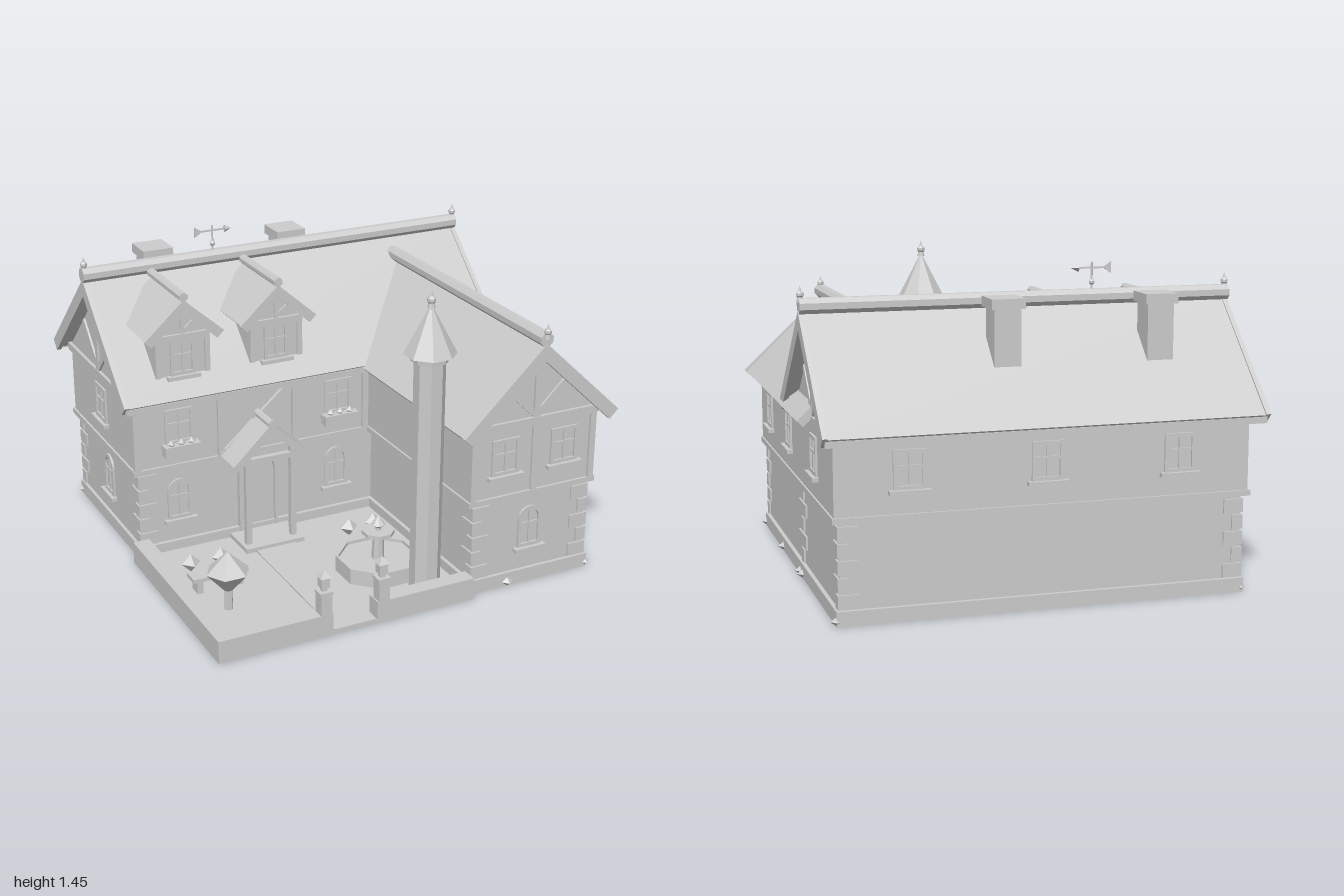
import * as THREE from 'three';

const plaster = new THREE.MeshStandardMaterial({ color: 0xcccccc });
plaster.name = 'light grey';

// Adds a facetted mesh to a group
function add(parent, name, geo, x = 0, y = 0, z = 0) {
  const flat = geo.index ? geo.toNonIndexed() : geo;
  flat.computeVertexNormals();
  const mesh = new THREE.Mesh(flat, plaster);
  mesh.name = name;
  mesh.position.set(x, y, z);
  parent.add(mesh);
  return mesh;
}

// Box given by its limits
const block = (p, name, x0, x1, y0, y1, z0, z1) =>
  add(p, name, new THREE.BoxGeometry(x1 - x0, y1 - y0, z1 - z0), (x0 + x1) / 2, (y0 + y1) / 2, (z0 + z1) / 2);

// Four strips around a rectangle
function ring(p, name, x0, x1, y0, y1, z0, z1, t) {
  block(p, name, x0, x1, y0, y1, z0, z0 + t);
  block(p, name, x0, x1, y0, y1, z1 - t, z1);
  block(p, name, x0, x0 + t, y0, y1, z0 + t, z1 - t);
  block(p, name, x1 - t, x1, y0, y1, z0 + t, z1 - t);
}

const cyl = (p, name, rTop, rBottom, y0, y1, x, z, sides = 8) =>
  add(p, name, new THREE.CylinderGeometry(rTop, rBottom, y1 - y0, sides).rotateY(Math.PI / sides), x, (y0 + y1) / 2, z);

function group(parent, name, x = 0, y = 0, z = 0, ry = 0) {
  const g = new THREE.Group();
  g.name = name;
  g.position.set(x, y, z);
  g.rotation.y = ry;
  parent.add(g);
  return g;
}

// Timber between two points in a plane facing +z
function beam(p, name, x0, y0, x1, y1, z, w = 0.03, d = 0.02) {
  const m = add(p, name, new THREE.BoxGeometry(Math.hypot(x1 - x0, y1 - y0), w, d), (x0 + x1) / 2, (y0 + y1) / 2, z);
  m.rotation.z = Math.atan2(y1 - y0, x1 - x0);
}

function prism(p, name, pts, z0, z1) {
  const shape = new THREE.Shape(pts.map(([x, y]) => new THREE.Vector2(x, y)));
  add(p, name, new THREE.ExtrudeGeometry(shape, { depth: z1 - z0, bevelEnabled: false }), 0, 0, z0);
}

// Two sloping slabs along z; t is the upright thickness
function chevron(p, name, half, eave, apex, t, z0, z1) {
  const k = (apex - eave) / half, e = t * 0.5;
  const inner = half - e, yi = eave - e;
  prism(p, name, [[-half, eave], [-inner, yi], [0, yi + k * inner], [inner, yi], [half, eave], [0, apex]], z0, z1);
}

function ridge(p, r, y, z0, z1) {
  add(p, 'ridgeCap', new THREE.CylinderGeometry(r, r, z1 - z0, 8).rotateY(Math.PI / 8).rotateX(Math.PI / 2), 0, y, (z0 + z1) / 2);
}

function finial(p, x, y, z, s = 1) {
  cyl(p, 'finialStem', 0.012 * s, 0.018 * s, y - 0.02, y + 0.01, x, z);
  add(p, 'finialBall', new THREE.SphereGeometry(0.02 * s, 8, 5), x, y + 0.015 * s, z);
  cyl(p, 'finialTip', 0, 0.01 * s, y + 0.025 * s, y + 0.06 * s, x, z);
}

// Triangular wall with king post and struts, facing +z
function gable(p, half, y0, apex, z, s = 1) {
  prism(p, 'gableWall', [[-half, y0], [half, y0], [0, apex]], z - 0.03, z);
  block(p, 'tieBeam', -half, half, y0 - 0.02, y0 + 0.015, z - 0.01, z + 0.015);
  block(p, 'kingPost', -0.015 * s, 0.015 * s, y0, apex, z - 0.01, z + 0.012);
  const h = apex - y0;
  for (const m of [-1, 1]) beam(p, 'gableStrut', 0, y0 + 0.02, m * half * 0.44, y0 + h * 0.53, z, 0.03 * s);
}

// Window facing +z, standing on its sill at the group origin
function windowUnit(p, x, y, z, ry, w, h, arched = false, flowers = false) {
  const g = group(p, 'window', x, y, z, ry);
  const outline = (Type, a, b0, b1) => {
    const s = new Type();
    s.moveTo(-a, b0); s.lineTo(a, b0); s.lineTo(a, b1);
    if (arched) s.absarc(0, b1, a, 0, Math.PI, false);
    else s.lineTo(-a, b1);
    s.closePath();
    return s;
  };
  const top = arched ? h - w / 2 : h;
  const frame = outline(THREE.Shape, w / 2, 0, top);
  frame.holes.push(outline(THREE.Path, w / 2 - 0.016, 0.016, arched ? top : top - 0.016));
  add(g, 'windowFrame', new THREE.ExtrudeGeometry(frame, { depth: 0.014, bevelEnabled: false, curveSegments: 6 }), 0, 0, -0.004);
  block(g, 'mullion', -0.005, 0.005, 0.012, h - 0.01, -0.002, 0.007);
  block(g, 'transom', -w / 2 + 0.012, w / 2 - 0.012, h * 0.55, h * 0.55 + 0.01, -0.002, 0.007);
  block(g, 'windowSill', -w / 2 - 0.02, w / 2 + 0.02, -0.018, 0, 0, 0.028);
  if (flowers) {
    block(g, 'flowerBox', -0.088, 0.088, -0.045, 0.005, 0.005, 0.055);
    for (const i of [-1, 0, 1]) add(g, 'flower', new THREE.OctahedronGeometry(0.02), i * 0.05, 0.012, 0.032);
  }
}

// Alternating corner stones
function quoins(p, x, z, sx, sz) {
  for (let i = 0; i < 5; i++) {
    const a = i % 2 ? 0.05 : 0.09, b = i % 2 ? 0.09 : 0.05, y = 0.068 + i * 0.073;
    add(p, 'cornerStone', new THREE.BoxGeometry(a, 0.062, b), x + sx * (0.009 - a / 2), y + 0.031, z + sz * (0.009 - b / 2));
  }
}

export function createModel() {
  const model = new THREE.Group();
  model.name = 'timberedManor';

  // Walls, with open plinth rings under raised floors
  const walls = group(model, 'walls');
  ring(walls, 'mainPlinth', -0.915, 0.915, 0, 0.065, -0.9, -0.06, 0.035);
  ring(walls, 'wingPlinth', 0.287, 0.915, 0, 0.065, -0.095, 0.9, 0.035);
  block(walls, 'mainLowerWall', -0.9, 0.897, 0.055, 0.45, -0.88, -0.08);
  block(walls, 'wingLowerWall', 0.305, 0.897, 0.055, 0.45, -0.09, 0.883);
  block(walls, 'mainUpperWall', -0.925, 0.92, 0.45, 0.8, -0.895, -0.06);
  block(walls, 'wingUpperWall', 0.275, 0.92, 0.45, 0.8, -0.07, 0.895);
  block(walls, 'mainJettyBeam', -0.935, 0.928, 0.437, 0.462, -0.905, -0.048);
  block(walls, 'wingJettyBeam', 0.265, 0.928, 0.437, 0.462, -0.05, 0.907);
  for (const [x, z, sx, sz] of [[-0.9, -0.08, -1, 1], [-0.9, -0.88, -1, -1], [0.897, -0.88, 1, -1], [0.897, 0.883, 1, 1], [0.305, 0.883, -1, 1]])
    quoins(walls, x, z, sx, sz);
  for (let i = 0; i < 5; i++) {
    const w = i % 2 ? 0.086 : 0.03;
    block(walls, 'sideStone', 0.89, 0.906, 0.068 + i * 0.073, 0.13 + i * 0.073, -0.095 - w, -0.095 + w);
  }

  // Front timber framing
  const frame = group(model, 'timberFrame');
  for (const x of [-0.915, -0.5, -0.12, 0.255]) block(frame, 'mainPost', x - 0.015, x + 0.015, 0.46, 0.79, -0.065, -0.046);
  for (const x of [0.29, 0.6, 0.905]) block(frame, 'wingPost', x - 0.015, x + 0.015, 0.46, 0.79, 0.89, 0.906);
  block(frame, 'mainTopRail', -0.93, 0.28, 0.765, 0.795, -0.065, -0.046);
  block(frame, 'wingTopRail', 0.275, 0.92, 0.775, 0.8, 0.89, 0.906);
  for (const m of [-1, 1]) beam(frame, 'crossBrace', -0.31 + m * 0.18, 0.77, -0.31 - m * 0.18, 0.46, -0.052, 0.035);

  // Main roof, running along x
  const main = group(model, 'mainRoof', -0.006, 0, -0.48, Math.PI / 2);
  chevron(main, 'mainRoofSlab', 0.492, 0.805, 1.26, 0.055, -0.97, 0.97);
  ridge(main, 0.036, 1.288, -0.985, 0.98);
  for (const m of [-1, 1]) {
    const z = m * 0.972;
    chevron(main, 'mainBargeboard', 0.498, 0.81, 1.267, 0.085, z - 0.011, z + 0.011);
    finial(main, 0, 1.325, m * 0.972, 0.85);
    gable(group(main, 'mainGable', 0, 0, 0, m < 0 ? Math.PI : 0), 0.415, 0.8, 1.185, 0.922);
    block(main, 'eaveBoard', m * 0.478 - 0.012, m * 0.478 + 0.012, 0.77, 0.798, -0.97, 0.97);
  }

  // Wing roof
  const wing = group(model, 'wingRoof', 0.6);
  chevron(wing, 'wingRoofSlab', 0.39, 0.795, 1.165, 0.055, -0.48, 0.945);
  chevron(wing, 'wingBargeboard', 0.397, 0.798, 1.172, 0.085, 0.935, 0.957);
  ridge(wing, 0.034, 1.19, -0.43, 0.955);
  finial(wing, 0, 1.215, 0.955, 0.85);
  gable(wing, 0.325, 0.8, 1.1, 0.896);

  // Dormers
  for (const x of [-0.67, -0.205]) {
    const d = group(model, 'dormer', x);
    block(d, 'dormerBody', -0.13, 0.13, 0.89, 1.09, -0.46, -0.075);
    chevron(d, 'dormerRoof', 0.185, 1.085, 1.25, 0.045, -0.43, -0.05);
    chevron(d, 'dormerBargeboard', 0.192, 1.085, 1.256, 0.065, -0.055, -0.038);
    ridge(d, 0.022, 1.27, -0.43, -0.035);
    gable(d, 0.13, 1.075, 1.2, -0.073, 0.6);
    for (const m of [-1, 1]) block(d, 'dormerPost', m * 0.12 - 0.012, m * 0.12 + 0.012, 0.89, 1.08, -0.08, -0.064);
    windowUnit(d, 0, 0.893, -0.075, 0, 0.12, 0.165);
  }

  // Chimneys
  for (const x of [-0.57, 0.125]) {
    block(model, 'chimneyStack', x - 0.06, x + 0.06, 0.9, 1.285, -0.73, -0.605);
    block(model, 'chimneyCap', x - 0.075, x + 0.075, 1.275, 1.32, -0.745, -0.592);
  }

  // Weather vane
  const vane = group(model, 'weatherVane', -0.34, 0, -0.48);
  cyl(vane, 'vanePole', 0.005, 0.005, 1.3, 1.44, 0, 0, 6);
  add(vane, 'vaneBall', new THREE.SphereGeometry(0.014, 8, 5), 0, 1.352);
  block(vane, 'vaneArm', -0.07, 0.08, 1.411, 1.419, -0.004, 0.004);
  add(vane, 'vanePoint', new THREE.ConeGeometry(0.018, 0.035, 4).rotateZ(-Math.PI / 2), 0.08, 1.415);
  prism(vane, 'vaneTail', [[-0.09, 1.39], [-0.05, 1.415], [-0.09, 1.44]], -0.004, 0.004);

  // Windows
  const wins = group(model, 'windows');
  for (const x of [0.45, 0.755]) windowUnit(wins, x, 0.565, 0.895, 0, 0.14, 0.17);
  for (const x of [-0.705, 0.11]) {
    windowUnit(wins, x, 0.565, -0.06, 0, 0.14, 0.17, false, true);
    windowUnit(wins, x, 0.175, -0.08, 0, 0.12, 0.2, true);
  }
  windowUnit(wins, 0.6, 0.175, 0.883, 0, 0.12, 0.2, true);
  for (const z of [0.635, 0.115, -0.495]) windowUnit(wins, 0.92, 0.565, z, Math.PI / 2, 0.14, 0.17);
  for (const x of [-0.6, 0, 0.6]) windowUnit(wins, x, 0.565, -0.895, Math.PI, 0.14, 0.17);
  windowUnit(wins, -0.925, 0.565, -0.48, -Math.PI / 2, 0.14, 0.17);
  windowUnit(wins, -0.9, 0.175, -0.48, -Math.PI / 2, 0.12, 0.2, true);

  // Porch and door
  const porch = group(model, 'porch', -0.31);
  chevron(porch, 'porchRoof', 0.195, 0.462, 0.645, 0.05, -0.07, 0.105);
  ridge(porch, 0.02, 0.64, -0.07, 0.105);
  for (const m of [-1, 1]) block(porch, 'porchPost', m * 0.115 - 0.014, m * 0.115 + 0.014, 0.02, 0.51, 0.06, 0.088);
  block(porch, 'porchBeam', -0.14, 0.14, 0.45, 0.475, 0.06, 0.088);
  block(porch, 'doorStep', -0.15, 0.15, 0.01, 0.042, -0.07, 0.132);
  const arch = (Type, a) => {
    const s = new Type();
    s.moveTo(-a, 0.04); s.lineTo(a, 0.04); s.lineTo(a, 0.335);
    s.absarc(0, 0.335, a, 0, Math.PI, false);
    return s;
  };
  const doorway = arch(THREE.Shape, 0.1);
  doorway.holes.push(arch(THREE.Path, 0.084));
  add(porch, 'doorArch', new THREE.ExtrudeGeometry(doorway, { depth: 0.025, bevelEnabled: false }), 0, 0, -0.08);
  add(porch, 'door', new THREE.ExtrudeGeometry(arch(THREE.Shape, 0.084), { depth: 0.008, bevelEnabled: false }), 0, 0, -0.08);

  // Garden ground, path and low walls
  const garden = group(model, 'garden');
  block(garden, 'lawn', -0.95, 0.287, 0, 0.02, -0.06, 0.94);
  block(garden, 'path', -0.41, -0.205, 0.01, 0.026, 0.1, 0.94);
  block(garden, 'leftWall', -0.95, -0.87, 0, 0.105, -0.06, 0.94);
  block(garden, 'frontWallLeft', -0.87, -0.415, 0, 0.105, 0.865, 0.94);
  block(garden, 'frontWallRight', -0.2, 0.285, 0, 0.105, 0.865, 0.94);
  for (const x of [-0.447, -0.167]) {
    block(garden, 'gatePost', x - 0.026, x + 0.026, 0, 0.2, 0.885, 0.94);
    block(garden, 'gatePostCap', x - 0.03, x + 0.03, 0.2, 0.213, 0.882, 0.942);
    block(garden, 'lanternFoot', x - 0.012, x + 0.012, 0.213, 0.235, 0.9, 0.924);
    block(garden, 'lantern', x - 0.02, x + 0.02, 0.23, 0.28, 0.892, 0.932);
    cyl(garden, 'lanternCap', 0.006, 0.036, 0.278, 0.306, x, 0.912, 4);
  }

  // Bench
  block(garden, 'benchSeat', -0.835, -0.57, 0.082, 0.1, 0.315, 0.395);
  for (const x of [-0.8, -0.605]) block(garden, 'benchLeg', x - 0.015, x + 0.015, 0.01, 0.085, 0.325, 0.385);

  // Clipped tree and shrubs
  cyl(garden, 'treeTrunk', 0.018, 0.022, 0.01, 0.16, -0.74, 0.56, 6);
  for (const [a, b, y0, y1] of [[0.1, 0.012, 0.105, 0.205], [0, 0.1, 0.205, 0.3]])
    add(garden, 'treeCrown', new THREE.CylinderGeometry(a, b, y1 - y0, 6).rotateY(Math.PI / 6), -0.74, (y0 + y1) / 2, 0.56);
  for (const x of [-0.755, -0.605, 0.06, 0.19]) add(garden, 'shrub', new THREE.OctahedronGeometry(0.045), x, 0.06, 0.165);
  for (const [x, z] of [[0.295, 0.895], [0.487, 0.9], [0.912, 0.89], [0.915, 0.38], [0.915, -0.07], [0.915, -0.13], [0.912, -0.885], [-0.905, -0.885]])
    add(garden, 'stone', new THREE.OctahedronGeometry(0.027).scale(1, 0.75, 1), x, 0.021, z);

  // Fountain
  const fountain = group(garden, 'fountain', 0.02, 0, 0.53);
  const basin = [[0.195, 0.01], [0.195, 0.095], [0.182, 0.095], [0.182, 0.08], [0.03, 0.08], [0.025, 0.2], [0.076, 0.205], [0.076, 0.222], [0.012, 0.222], [0.012, 0.235], [0.034, 0.25], [0, 0.295]];
  add(fountain, 'fountainBasin', new THREE.LatheGeometry(basin.map(([r, y]) => new THREE.Vector2(r, y)), 8, Math.PI / 8));

  // Turret
  const turret = group(model, 'turret', 0.112, 0, 0.8);
  cyl(turret, 'turretShaft', 0.07, 0.07, 0, 1.135, 0, 0);
  cyl(turret, 'turretCollar', 0.087, 0.085, 1.13, 1.165, 0, 0);
  cyl(turret, 'turretRoof', 0.012, 0.117, 1.16, 1.36, 0, 0);
  finial(turret, 0, 1.385, 0);
  return model;
}
